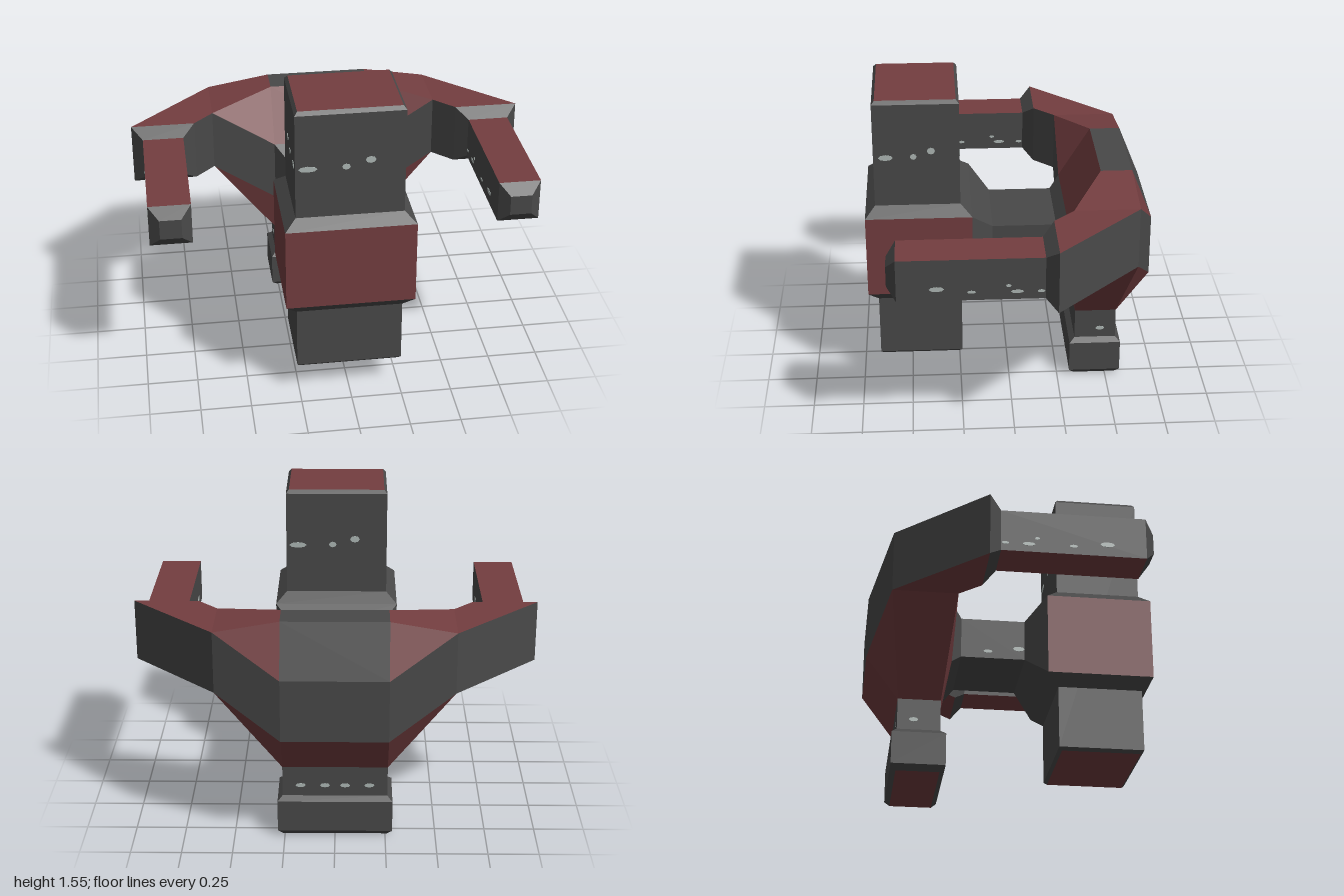
import * as THREE from 'three';

export function createModel() {
  const mats = {
    red: new THREE.MeshStandardMaterial({ color: 0x743e40 }),
    grey: new THREE.MeshStandardMaterial({ color: 0x494949 }),
    chip: new THREE.MeshStandardMaterial({ color: 0xb0bab7 }),
  };
  for (const key in mats) mats[key].name = { red: 'dull red', grey: 'dark grey', chip: 'pale chips' }[key];
  const model = new THREE.Group();
  model.name = 'model';

  const mean = (pts) => pts.reduce((c, p) => c.add(p), new THREE.Vector3()).divideScalar(pts.length);

  // Collects flat polygons by colour; each is turned to face away from a given centre.
  function panels(name) {
    const pos = { red: [], grey: [] };
    return {
      face(pts, colour, centre) {
        const n = new THREE.Vector3().subVectors(pts[1], pts[0])
          .cross(new THREE.Vector3().subVectors(pts[2], pts[0]));
        const ring = n.dot(mean(pts).sub(centre)) < 0 ? [...pts].reverse() : pts;
        for (let i = 1; i < ring.length - 1; i++) {
          for (const p of [ring[0], ring[i], ring[i + 1]]) pos[colour].push(p.x, p.y, p.z);
        }
      },
      finish() {
        const group = new THREE.Group();
        group.name = name;
        for (const colour in pos) {
          if (!pos[colour].length) continue;
          const g = new THREE.BufferGeometry();
          g.setAttribute('position', new THREE.Float32BufferAttribute(pos[colour], 3));
          g.computeVertexNormals();
          const mesh = new THREE.Mesh(g, mats[colour]);
          mesh.name = `${name} ${colour} faces`;
          group.add(mesh);
        }
        model.add(group);
      },
    };
  }

  // Rectangular loft. Section: [position, x0, x1, b0, b1]; b is z along y, or y along z.
  // wall(segment, isXSide) gives the colour of a wall; cap is the colour of both ends.
  function loft(name, axis, sections, wall, cap, mirror = 1) {
    const out = panels(name);
    const rings = sections.map(([t, x0, x1, b0, b1]) =>
      [[x0, b0], [x1, b0], [x1, b1], [x0, b1]].map(([x, b]) =>
        axis === 'y' ? new THREE.Vector3(x * mirror, t, b) : new THREE.Vector3(x * mirror, b, t)));
    const all = mean(rings.flat());
    for (let s = 0; s < rings.length - 1; s++) {
      const [a, b] = [rings[s], rings[s + 1]];
      const centre = mean([...a, ...b]);
      for (let i = 0; i < 4; i++) {
        const j = (i + 1) % 4;
        out.face([a[i], a[j], b[j], b[i]], wall(s, i % 2 === 1), centre);
      }
    }
    if (cap) for (const r of [rings[0], rings[rings.length - 1]]) out.face(r, cap, all);
    out.finish();
  }
  const grey = () => 'grey';

  // Upright front column with bevelled ends
  loft('column', 'y', [
    [0.145, -0.245, 0.245, 0.255, 0.645], [0.16, -0.26, 0.26, 0.24, 0.66],
    [1.53, -0.26, 0.26, 0.24, 0.66], [1.548, -0.245, 0.245, 0.255, 0.645],
  ], grey, 'red');

  // Collar around the column, red with grey chamfers
  loft('collar', 'y', [
    [0.475, -0.26, 0.26, 0.24, 0.66], [0.53, -0.315, 0.315, 0.183, 0.71],
    [0.95, -0.315, 0.315, 0.183, 0.71], [1.0, -0.26, 0.26, 0.24, 0.66],
  ], (s) => (s === 1 ? 'red' : 'grey'));

  // Beam from collar to rear body, flared at both ends
  loft('beam', 'z', [
    [-0.29, -0.26, 0.26, 0.585, 0.9], [-0.24, -0.21, 0.21, 0.635, 0.845],
    [0.08, -0.21, 0.21, 0.635, 0.845], [0.183, -0.315, 0.315, 0.53, 0.95],
  ], grey);

  // Foot and its neck
  loft('foot', 'y', [
    [0, -0.26, 0.26, -0.55, -0.34], [0.028, -0.285, 0.285, -0.575, -0.313],
    [0.19, -0.285, 0.285, -0.575, -0.313], [0.213, -0.26, 0.26, -0.55, -0.34],
    [0.37, -0.26, 0.26, -0.55, -0.34],
  ], grey, 'red');

  // Rear body: octagonal middle blending into rectangular wings
  const profile = [[0.9, -0.29], [1.16, -0.45], [1.16, -0.605], [0.9, -0.71],
    [0.585, -0.71], [0.37, -0.55], [0.37, -0.34], [0.585, -0.29]];
  const middleColours = ['red', 'grey', 'grey', 'grey', 'red', 'red', 'red', 'grey'];
  const shoulderColours = ['red', 'red', 'red', 'grey', 'red', 'red', 'red', 'grey'];
  const wingColours = ['red', 'grey', 'red', 'grey'];
  const corner = [0, 0, 1, 1, 2, 2, 3, 3]; // profile point -> wing corner
  const octagon = (x) => profile.map(([y, z]) => new THREE.Vector3(x, y, z));
  const quad = (s, xi, zi, xo, zo) => [[xi, 1.105, zi], [xo, 1.105, zo], [xo, 0.795, zo], [xi, 0.795, zi]]
    .map(([x, y, z]) => new THREE.Vector3(x * s, y, z));

  const body = panels('rearBody');
  const left = octagon(0.26), right = octagon(-0.26);
  for (let i = 0; i < 8; i++) {
    const j = (i + 1) % 8;
    body.face([left[i], left[j], right[j], right[i]], middleColours[i], mean([...left, ...right]));
  }
  body.finish();

  for (const s of [1, -1]) {
    const side = s > 0 ? 'left' : 'right';
    const wing = panels(`${side}Wing`);
    const root = octagon(0.26 * s);
    const elbow = quad(s, 0.58, -0.29, 0.58, -0.608);
    const end = quad(s, 0.68, -0.187, 1, -0.187);
    for (let i = 0; i < 8; i++) {
      const j = (i + 1) % 8;
      const pts = [root[i], root[j], elbow[corner[j]]];
      if (corner[i] !== corner[j]) pts.push(elbow[corner[i]]);
      wing.face(pts, shoulderColours[i], mean([...root, ...elbow]));
    }
    for (let i = 0; i < 4; i++) {
      const j = (i + 1) % 4;
      wing.face([elbow[i], elbow[j], end[j], end[i]], wingColours[i], mean([...elbow, ...end]));
    }
    wing.finish();

    // Forward arm with tapered socket and tip
    loft(`${side}Arm`, 'z', [
      [-0.187, 0.68, 1, 0.795, 1.105], [-0.13, 0.74, 0.945, 0.845, 1.055],
      [0.555, 0.74, 0.945, 0.845, 1.055], [0.6, 0.79, 0.895, 0.9, 1.0],
    ], (seg, xSide) => (seg === 1 && !xSide ? 'red' : 'grey'), 'grey', s);
  }

  // Small worn paint chips as thin plates
  function chip(x, y, z, w, h, onSide) {
    const g = new THREE.CylinderGeometry(0.5, 0.5, 0.004, 8).rotateX(Math.PI / 2).scale(w, h, 1);
    if (onSide) g.rotateY(Math.PI / 2);
    const mesh = new THREE.Mesh(g, mats.chip);
    mesh.position.set(x, y, z);
    mesh.name = 'paintChip';
    model.add(mesh);
  }
  const columnChips = [[-0.2, 1.255, 0.09, 0.03], [-0.02, 1.258, 0.04, 0.03], [0.095, 1.287, 0.05, 0.035]];
  for (const [u, y, w, h] of columnChips) {
    chip(u, y, 0.66, w, h, false);
    chip(-u, y, 0.24, w, h, false);
    for (const s of [1, -1]) chip(0.26 * s, y, 0.45 - u * 0.75, w * 0.8, h, true);
  }
  for (const s of [1, -1]) {
    for (const [z, y, w, h] of [[0.37, 0.905, 0.07, 0.025], [0.21, 0.887, 0.04, 0.015],
      [0.04, 0.916, 0.025, 0.015], [0, 0.885, 0.06, 0.018], [-0.11, 0.885, 0.035, 0.015]]) {
      chip(0.945 * s, y, z, w, h, true);
      chip(0.74 * s, y, z, w, h, true);
    }
    chip(0.21 * s, 0.692, 0.05, 0.06, 0.025, true);
    chip(0.21 * s, 0.672, -0.105, 0.045, 0.018, true);
    chip(0.26 * s, 0.265, -0.47, 0.045, 0.022, true);
    for (const x of [0.05, 0.17]) chip(x * s, 0.27, -0.55, 0.05, 0.022, false);
  }
  return model;
}
